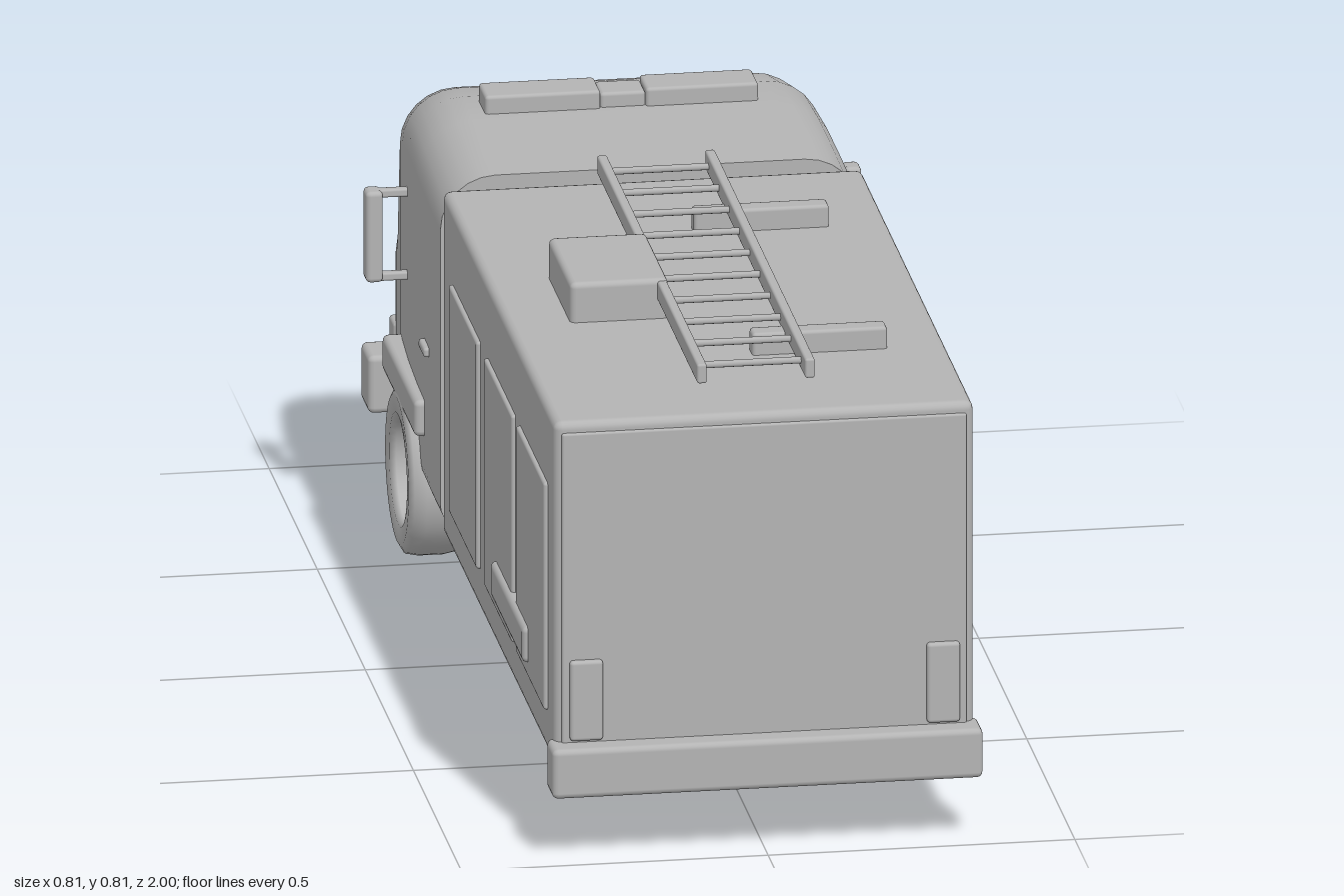
import * as THREE from 'three';
import { RoundedBoxGeometry } from 'three/addons/geometries/RoundedBoxGeometry.js';

const grey = new THREE.MeshStandardMaterial({ color: 0xb4b4b4 });
grey.name = 'plain grey';

export function createModel() {
  const truck = new THREE.Group();
  truck.name = 'fireTruck';

  const add = (name, geometry) => {
    const mesh = new THREE.Mesh(geometry, grey);
    mesh.name = name;
    truck.add(mesh);
    return mesh;
  };
  // Box given by its limits on each axis, with softened edges
  const box = (name, [x0, x1], [y0, y1], [z0, z1], radius = 0.006) => {
    const w = x1 - x0, h = y1 - y0, d = z1 - z0;
    const r = Math.min(radius, Math.min(w, h, d) * 0.45);
    add(name, new RoundedBoxGeometry(w, h, d, 2, r))
      .position.set((x0 + x1) / 2, (y0 + y1) / 2, (z0 + z1) / 2);
  };
  // The same box on both sides
  const pair = (name, [x0, x1], y, z, radius) => {
    box(name + 'Left', [x0, x1], y, z, radius);
    box(name + 'Right', [-x1, -x0], y, z, radius);
  };

  // Chassis, equipment body and bumpers
  box('chassis', [-0.28, 0.28], [0.107, 0.175], [-0.93, 0.94]);
  box('equipmentBody', [-0.342, 0.342], [0.155, 0.74], [-0.205, 0.957], 0.014);
  box('rearPanel', [-0.33, 0.33], [0.18, 0.722], [0.94, 0.962], 0.004);
  box('rearBumper', [-0.351, 0.351], [0.112, 0.196], [0.932, 1.0], 0.01);
  box('frontBumper', [-0.351, 0.351], [0.112, 0.21], [-1.0, -0.918], 0.01);

  // Side shutters
  [[0.6, 0.89], [0.265, 0.555], [-0.1, 0.19]].forEach((z, i) =>
    pair('shutter' + (i + 1), [0.33, 0.349], [0.228, 0.615], z, 0.005));

  // Arch strips, lamps, mirrors and door handles
  pair('rearArch', [0.32, 0.358], [0.252, 0.314], [0.39, 0.73], 0.01);
  pair('frontArch', [0.29, 0.358], [0.252, 0.314], [-0.735, -0.395], 0.01);
  pair('tailLamp', [0.264, 0.318], [0.2, 0.336], [0.94, 0.972], 0.006);
  pair('headLamp', [0.2, 0.31], [0.205, 0.265], [-0.967, -0.918], 0.006);
  pair('mirror', [0.376, 0.404], [0.446, 0.601], [-0.64, -0.602], 0.008);
  for (const y of [0.452, 0.594])
    pair('mirrorArm', [0.3, 0.39], [y - 0.007, y + 0.007], [-0.629, -0.613], 0.004);
  pair('doorHandle', [0.32, 0.351], [0.405, 0.421], [-0.4, -0.345], 0.005);

  // Cab: rounded cross-sections running forward [z, bottom, top, half width, top radius]
  const sections = [
    [-0.228, 0.15, 0.752, 0.342, 0.09],
    [-0.34, 0.15, 0.755, 0.342, 0.09],
    [-0.48, 0.15, 0.759, 0.34, 0.09],
    [-0.6, 0.15, 0.758, 0.336, 0.09],
    [-0.7, 0.15, 0.738, 0.33, 0.09],
    [-0.75, 0.15, 0.722, 0.326, 0.09],
    [-0.795, 0.15, 0.61, 0.321, 0.08],
    [-0.84, 0.15, 0.497, 0.316, 0.08],
    [-0.88, 0.151, 0.486, 0.312, 0.08],
    [-0.918, 0.156, 0.464, 0.307, 0.08],
    [-0.942, 0.18, 0.425, 0.3, 0.07],
    [-0.955, 0.22, 0.395, 0.285, 0.06],
  ];
  const steps = 6;
  const positions = [], index = [];
  for (const [z, bottom, top, half, rTop] of sections) {
    const rLow = 0.045;
    const corners = [
      [half - rTop, top - rTop, rTop], [-half + rTop, top - rTop, rTop],
      [-half + rLow, bottom + rLow, rLow], [half - rLow, bottom + rLow, rLow],
    ];
    corners.forEach(([cx, cy, r], q) => {
      for (let k = 0; k <= steps; k++) {
        const a = (q + k / steps) * Math.PI / 2;
        positions.push(cx + r * Math.cos(a), cy + r * Math.sin(a), z);
      }
    });
  }
  const n = 4 * (steps + 1);
  for (let i = 0; i < sections.length - 1; i++) {
    for (let j = 0; j < n; j++) {
      const a = i * n + j, b = i * n + (j + 1) % n;
      index.push(a, a + n, b, b, a + n, b + n);
    }
  }
  const cab = new THREE.BufferGeometry();
  cab.setAttribute('position', new THREE.Float32BufferAttribute(positions, 3));
  const last = (sections.length - 1) * n;
  for (let j = 1; j < n - 1; j++) index.push(last, last + j + 1, last + j);
  cab.setIndex(index);
  cab.computeVertexNormals();
  add('cab', cab);

  // Flat wall closing the cab behind the seats
  const wall = new THREE.Shape();
  for (let j = 0; j < n; j++) {
    const x = positions[j * 3], y = positions[j * 3 + 1];
    if (j) wall.lineTo(x, y); else wall.moveTo(x, y);
  }
  add('cabRearWall', new THREE.ShapeGeometry(wall)).position.z = sections[0][0];

  // Light bar on the cab roof
  box('lightBarRight', [-0.225, -0.037], [0.745, 0.789], [-0.577, -0.505]);
  box('lightBarLeft', [0.037, 0.22], [0.745, 0.789], [-0.577, -0.505]);
  box('lightBarCentre', [-0.037, 0.037], [0.745, 0.783], [-0.572, -0.51]);

  // Roof box, ladder rests and ladder
  box('roofBox', [-0.24, -0.08], [0.73, 0.807], [0.242, 0.475], 0.01);
  for (const z of [0.054, 0.66])
    box('ladderRest', [0.025, 0.245], [0.73, 0.777], [z - 0.018, z + 0.018]);
  for (const x of [-0.09, 0.086])
    box('ladderRail', [x - 0.008, x + 0.008], [0.77, 0.803], [-0.155, 0.888], 0.004);
  for (let i = 0; i < 10; i++) {
    const rung = add('ladderRung', new THREE.CylinderGeometry(0.006, 0.006, 0.176, 8));
    rung.rotation.z = Math.PI / 2;
    rung.position.set(-0.002, 0.786, -0.12 + i * 0.1068);
  }

  // Single front tyre, an open ring with rounded shoulders
  const profile = [
    [0.085, -0.036], [0.093, -0.046], [0.122, -0.048], [0.136, -0.04], [0.14, -0.02],
    [0.14, 0.02], [0.136, 0.04], [0.122, 0.048], [0.093, 0.046], [0.085, 0.036], [0.085, -0.036],
  ].map(([r, y]) => new THREE.Vector2(r, y));
  const tyre = add('frontTyre', new THREE.LatheGeometry(profile, 40));
  tyre.rotation.z = Math.PI / 2;
  tyre.position.set(-0.312, 0.14, -0.565);

  return truck;
}
